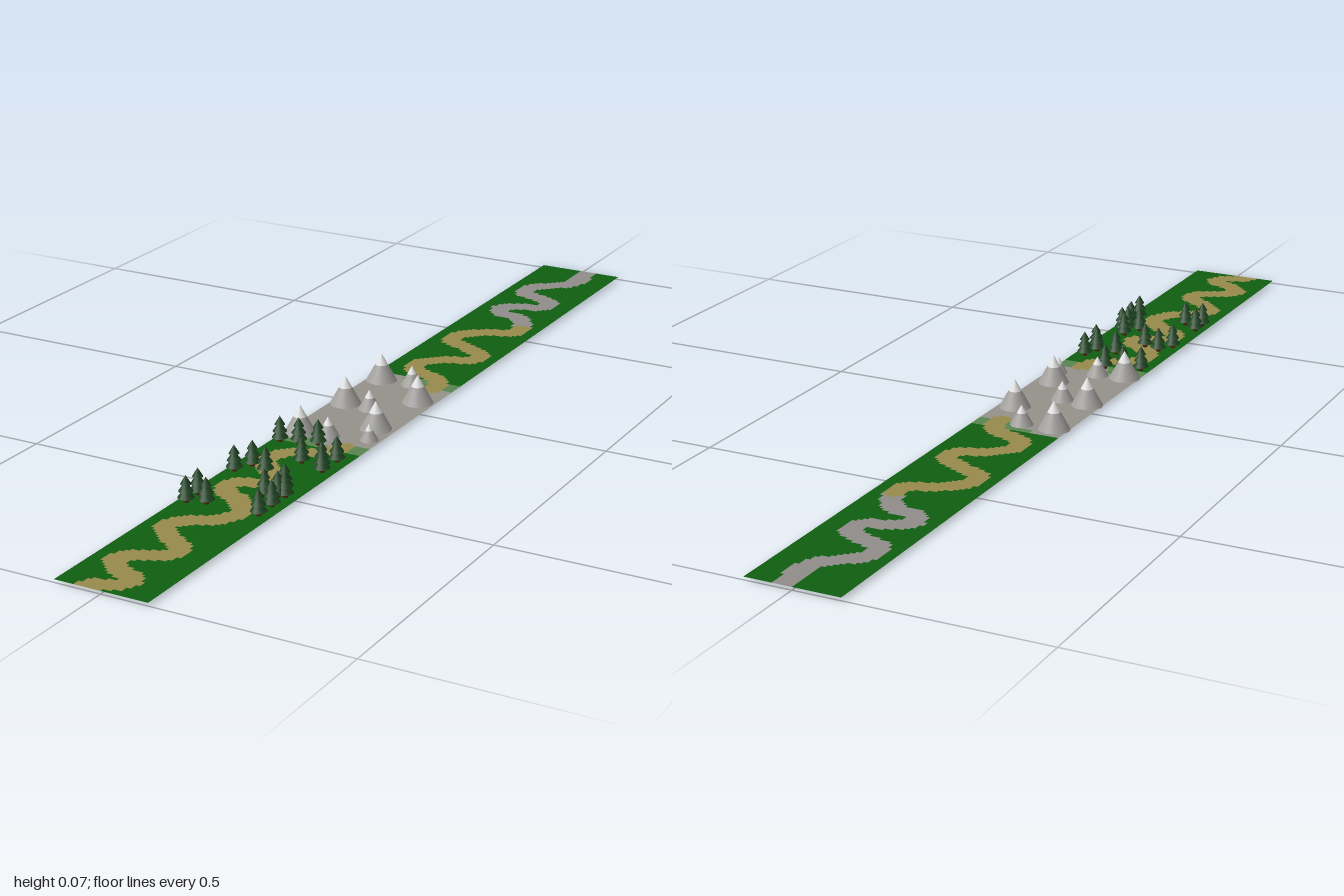
import * as THREE from 'three';

const mat = (name, color, side = THREE.FrontSide) => {
  const m = new THREE.MeshStandardMaterial({ color, side });
  m.name = name;
  return m;
};

export function createModel() {
  const root = new THREE.Group();
  root.name = 'valleyStrip';
  const D = THREE.DoubleSide;
  const M = {
    grass: mat('grass green', 0x0f5f10, D),
    dirt: mat('dirt tan', 0x978a4c, D),
    gravel: mat('gravel grey', 0x8f8c89, D),
    rock: mat('rocky ground', 0x93918a, D),
    moss: mat('mossy ground', 0x5a8450, D),
    stone: mat('mountain stone', 0xa3a19e),
    snow: mat('snow', 0xe2e2e2),
    leaf: mat('pine green', 0x1f4422),
    bark: mat('bark brown', 0x4c2410),
  };
  const W = 0.194, Y = 0.006;

  // Winding path centre lines, as [x, z]
  const path = (pts) => new THREE.CatmullRomCurve3(
    pts.map(([x, z]) => new THREE.Vector3(x, 0, z))).getSpacedPoints(240);
  const gravelPath = path([[0.02, -1.01], [0.02, -0.9], [-0.01, -0.87], [-0.05, -0.83], [-0.045, -0.785],
    [0, -0.77], [0.035, -0.745], [0.03, -0.71], [-0.01, -0.695], [-0.048, -0.67], [-0.035, -0.635],
    [0.01, -0.625], [0.04, -0.59], [0.052, -0.555]]);
  const backPath = path([[0.052, -0.555], [0.05, -0.52], [0, -0.5], [-0.052, -0.45], [-0.045, -0.41],
    [0, -0.39], [0.052, -0.355], [0.045, -0.32], [0, -0.3], [-0.045, -0.25], [-0.03, -0.21],
    [0.01, -0.195], [0.045, -0.17], [0.055, -0.125]]);
  const frontPath = path([[0.045, 0.24], [0.03, 0.28], [-0.03, 0.31], [-0.055, 0.36], [-0.03, 0.4],
    [0.01, 0.43], [0.015, 0.46], [-0.045, 0.49], [-0.045, 0.53], [0, 0.555], [0.035, 0.6],
    [0.02, 0.65], [-0.03, 0.68], [-0.052, 0.72], [-0.02, 0.755], [0.025, 0.79], [0.02, 0.825],
    [-0.03, 0.85], [-0.05, 0.88], [-0.02, 0.915], [0.022, 0.935], [0.015, 0.965], [-0.03, 0.985], [-0.04, 1.01]]);
  const near = (pts, x, z) => pts.some((p) => Math.hypot(p.x - x, p.z - z) < 0.0215);

  const groundKind = (x, z) => {
    if (near(frontPath, x, z) || near(backPath, x, z)) return 'dirt';
    if (near(gravelPath, x, z)) return 'gravel';
    if (z < -0.172 || z > 0.265) return 'grass';
    const mossy = (z < -0.15 && x > -0.03) || (z < -0.13 && x > 0.02)
      || (z > 0.225 && (x > 0.05 || x < -0.02)) || z > 0.25;
    return mossy ? 'moss' : 'rock';
  };

  // Ground tiles, gathered into one mesh per surface kind
  const NX = 24, NZ = 250, tiles = {};
  for (let i = 0; i < NX; i++) for (let j = 0; j < NZ; j++) {
    const x0 = (i / NX - 0.5) * W, x1 = ((i + 1) / NX - 0.5) * W;
    const z0 = j / NZ * 2 - 1, z1 = (j + 1) / NZ * 2 - 1;
    const k = groundKind((x0 + x1) / 2, (z0 + z1) / 2);
    (tiles[k] ??= []).push(x0, Y, z0, x0, Y, z1, x1, Y, z1, x0, Y, z0, x1, Y, z1, x1, Y, z0);
  }
  for (const [k, v] of Object.entries(tiles)) {
    const g = new THREE.BufferGeometry();
    g.setAttribute('position', new THREE.Float32BufferAttribute(v, 3));
    g.computeVertexNormals();
    const mesh = new THREE.Mesh(g, M[k]);
    mesh.name = k + 'Ground';
    root.add(mesh);
  }

  const add = (group, name, geo, material, y) => {
    const mesh = new THREE.Mesh(geo, material);
    mesh.name = name;
    mesh.position.y = y;
    group.add(mesh);
  };

  // Snow-capped mountains: [x, z, radius, height]
  const mountains = [
    [-0.066, -0.124, 0.033, 0.061], [0.061, -0.045, 0.033, 0.061], [-0.066, 0.03, 0.033, 0.061],
    [0.056, 0.124, 0.033, 0.061], [-0.066, 0.214, 0.033, 0.061], [0.003, -0.13, 0.024, 0.043],
    [-0.008, 0.034, 0.024, 0.043], [-0.008, 0.204, 0.024, 0.043], [0.073, 0.183, 0.019, 0.036],
  ];
  for (const [x, z, r, h] of mountains) {
    const g = new THREE.Group();
    g.name = 'mountain';
    const cap = 0.4;
    add(g, 'slope', new THREE.CylinderGeometry(r * cap, r, h * (1 - cap), 24), M.stone, h * (1 - cap) / 2);
    add(g, 'snowCap', new THREE.ConeGeometry(r * cap, h * cap, 24, 1, true), M.snow, h * (1 - cap / 2));
    g.position.set(x, 0.005, z);
    root.add(g);
  }

  // Pine trees: trunk with three stacked cones
  const trunk = new THREE.CylinderGeometry(0.005, 0.005, 0.017, 10);
  const tiers = [[0.0165, 0.022, 0.015], [0.0145, 0.02, 0.028], [0.0105, 0.018, 0.042]]
    .map(([r, h, y]) => [new THREE.ConeGeometry(r, h, 14), y + h / 2]);
  const trees = [
    [-0.078, 0.272], [-0.041, 0.262], [-0.003, 0.252], [0.015, 0.347], [0.06, 0.347], [0.072, 0.31],
    [0.072, 0.368], [-0.06, 0.405], [-0.022, 0.42], [-0.078, 0.442], [0.053, 0.474], [0.072, 0.505],
    [0.034, 0.516], [0.06, 0.511], [0.072, 0.553], [0.072, 0.6], [-0.078, 0.57], [-0.078, 0.611], [-0.041, 0.6],
  ];
  for (const [x, z] of trees) {
    const g = new THREE.Group();
    g.name = 'pineTree';
    add(g, 'trunk', trunk, M.bark, 0.0085);
    tiers.forEach(([geo, y]) => add(g, 'branches', geo, M.leaf, y));
    g.position.set(x, 0, z);
    root.add(g);
  }
  return root;
}
